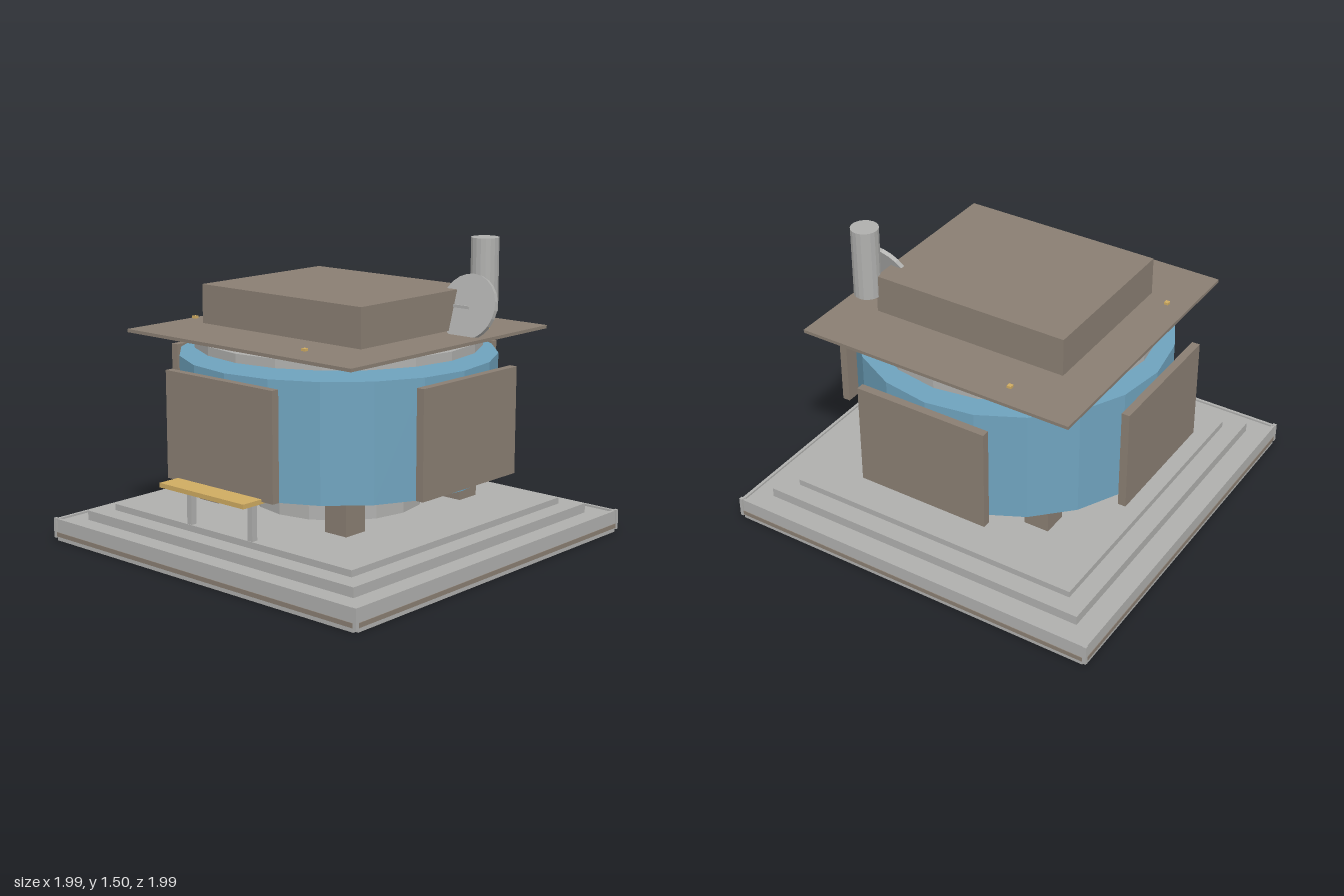
import * as THREE from 'three';

export function createModel() {
  const model = new THREE.Group();
  model.name = 'habitat';

  const mat = (name, color) => {
    const m = new THREE.MeshStandardMaterial({ color, flatShading: true });
    m.name = name;
    return m;
  };
  const grey = mat('concreteGrey', 0xb0b0ae);
  const brown = mat('panelBrown', 0x8a7f73);
  const blue = mat('hullBlue', 0x6fa3be);
  const ochre = mat('woodOchre', 0xd0ac62);

  const add = (name, geometry, material, x, y, z) => {
    const mesh = new THREE.Mesh(geometry, material);
    mesh.name = name;
    mesh.position.set(x, y, z);
    model.add(mesh);
    return mesh;
  };
  // Box given by its extents on each axis
  const box = (name, material, [x0, x1], [y0, y1], [z0, z1]) =>
    add(name, new THREE.BoxGeometry(x1 - x0, y1 - y0, z1 - z0), material,
      (x0 + x1) / 2, (y0 + y1) / 2, (z0 + z1) / 2);
  // Upright prism centred at x, z
  const drum = (name, material, r, y0, y1, sides, x = 0, z = 0) =>
    add(name, new THREE.CylinderGeometry(r, r, y1 - y0, sides), material, x, (y0 + y1) / 2, z);
  const span = (r) => [-r, r];

  // Stepped base with a shallow rim and a brown bottom slab
  box('bottomSlab', brown, span(0.993), [0.02, 0.042], span(0.993));
  box('baseFloor', grey, span(0.98), [0.042, 0.1], span(0.98));
  box('lowerStep', grey, span(0.875), [0.1, 0.148], span(0.875));
  box('upperStep', grey, span(0.78), [0.148, 0.18], span(0.78));
  for (const s of [-1, 1]) {
    const edge = s > 0 ? [0.975, 0.99] : [-0.99, -0.975];
    box('baseRim', grey, span(0.975), [0, 0.11], edge);
    box('baseRim', grey, edge, [0, 0.11], span(0.975));
    for (const t of [-1, 1]) {
      add('cornerPost', new THREE.BoxGeometry(0.018, 0.1, 0.018), grey, s * 0.986, 0.063, t * 0.986);
    }
  }

  // Central core, legs and faceted hull
  drum('core', grey, 0.42, 0.2, 1.045, 16);
  for (const x of [-0.42, 0.42]) {
    for (const z of [-0.42, 0.42]) {
      add('leg', new THREE.BoxGeometry(0.13, 0.18, 0.13), brown, x, 0.29, z);
    }
  }
  drum('hull', blue, 0.777, 0.375, 0.945, 20);
  drum('collar', grey, 0.703, 0.982, 1.025, 20);

  // One wall panel on each side
  for (let i = 0; i < 4; i++) {
    const a = i * Math.PI / 2;
    const panel = add('wallPanel', new THREE.BoxGeometry(0.69, 0.52, 0.04), brown,
      0.8 * Math.sin(a), 0.66, 0.8 * Math.cos(a));
    panel.rotation.y = a;
  }

  // Front bench
  box('benchSeat', ochre, span(0.275), [0.39, 0.412], [0.73, 0.937]);
  for (const x of [-0.2, 0.2]) {
    box('benchLeg', grey, [x - 0.015, x + 0.015], [0.2, 0.39], [0.79, 0.822]);
  }

  // Roof plate, rooftop block and small lamps
  box('roofPlate', brown, span(0.722), [1.04, 1.056], span(0.722));
  box('roofBatten', ochre, span(0.18), [1.056, 1.07], [-0.005, 0.005]);
  box('roofBlock', brown, span(0.513), [1.07, 1.262], span(0.418));
  for (const [x, z] of [[-0.625, 0.363], [0.363, 0.627], [-0.363, -0.625], [0.625, -0.363]]) {
    add('roofLamp', new THREE.BoxGeometry(0.022, 0.012, 0.022), ochre, x, 1.08, z);
  }

  // Chimney and tilted dish
  drum('chimney', grey, 0.068, 1.15, 1.505, 18, 0.57, -0.413);
  const dish = add('dish', new THREE.CylinderGeometry(0.16, 0.16, 0.022, 24), grey, 0.592, 1.187, -0.263);
  dish.rotation.x = Math.PI / 2 - 0.31;
  box('dishArm', grey, [0.51, 0.605], [1.18, 1.194], [-0.262, -0.246]);

  return model;
}
